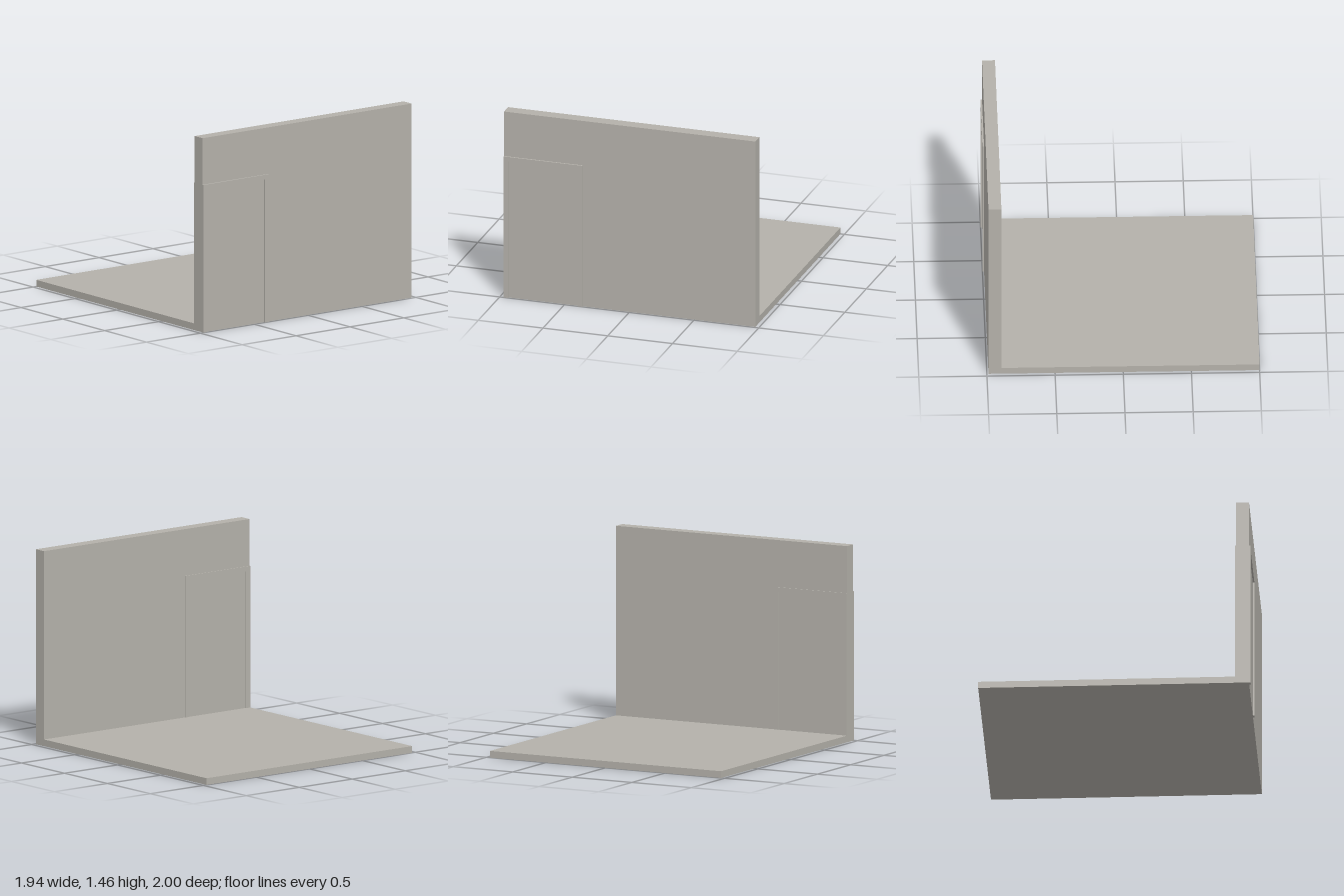
import * as THREE from 'three';

export function createModel() {
  const model = new THREE.Group();
  const plaster = new THREE.MeshStandardMaterial({ color: 0xb4b1aa });
  plaster.name = 'warm grey plaster';

  const add = (name, geometry) => {
    const mesh = new THREE.Mesh(geometry, plaster);
    mesh.name = name;
    model.add(mesh);
  };

  // Box given by its lower and upper corners
  const box = (name, [x0, y0, z0], [x1, y1, z1]) => {
    const g = new THREE.BoxGeometry(x1 - x0, y1 - y0, z1 - z0);
    g.translate((x0 + x1) / 2, (y0 + y1) / 2, (z0 + z1) / 2);
    add(name, g);
  };

  // Front outline pushed from z0 to z1
  const slab = (name, points, z0, z1) => {
    const shape = new THREE.Shape(points.map(([x, y]) => new THREE.Vector2(x, y)));
    const g = new THREE.ExtrudeGeometry(shape, { depth: z1 - z0, bevelEnabled: false });
    g.translate(0, 0, z0);
    add(name, g);
  };

  const side = 0.97, top = 1.457;
  const wallBack = 0.893, wallFront = 0.988;
  const frameRight = -0.36, frameTop = 1.108;
  const doorLeft = -0.932, doorRight = -0.398, doorTop = 1.073;

  // Floor slab up to the inner wall face
  box('floor', [-side, 0, -1], [side, 0.05, wallBack]);

  // Wall with a corner cut away for the doorway
  slab('wall', [
    [frameRight, 0], [side, 0], [side, top], [-side, top],
    [-side, frameTop], [frameRight, frameTop],
  ], wallBack, wallFront);

  // Door frame standing slightly proud of both wall faces
  slab('doorFrame', [
    [-side, 0], [doorLeft, 0], [doorLeft, doorTop], [doorRight, doorTop],
    [doorRight, 0], [frameRight, 0], [frameRight, frameTop], [-side, frameTop],
  ], 0.886, 1);

  // Door leaf flush with the wall
  box('door', [doorLeft, 0, wallBack], [doorRight, doorTop, wallFront]);

  return model;
}
